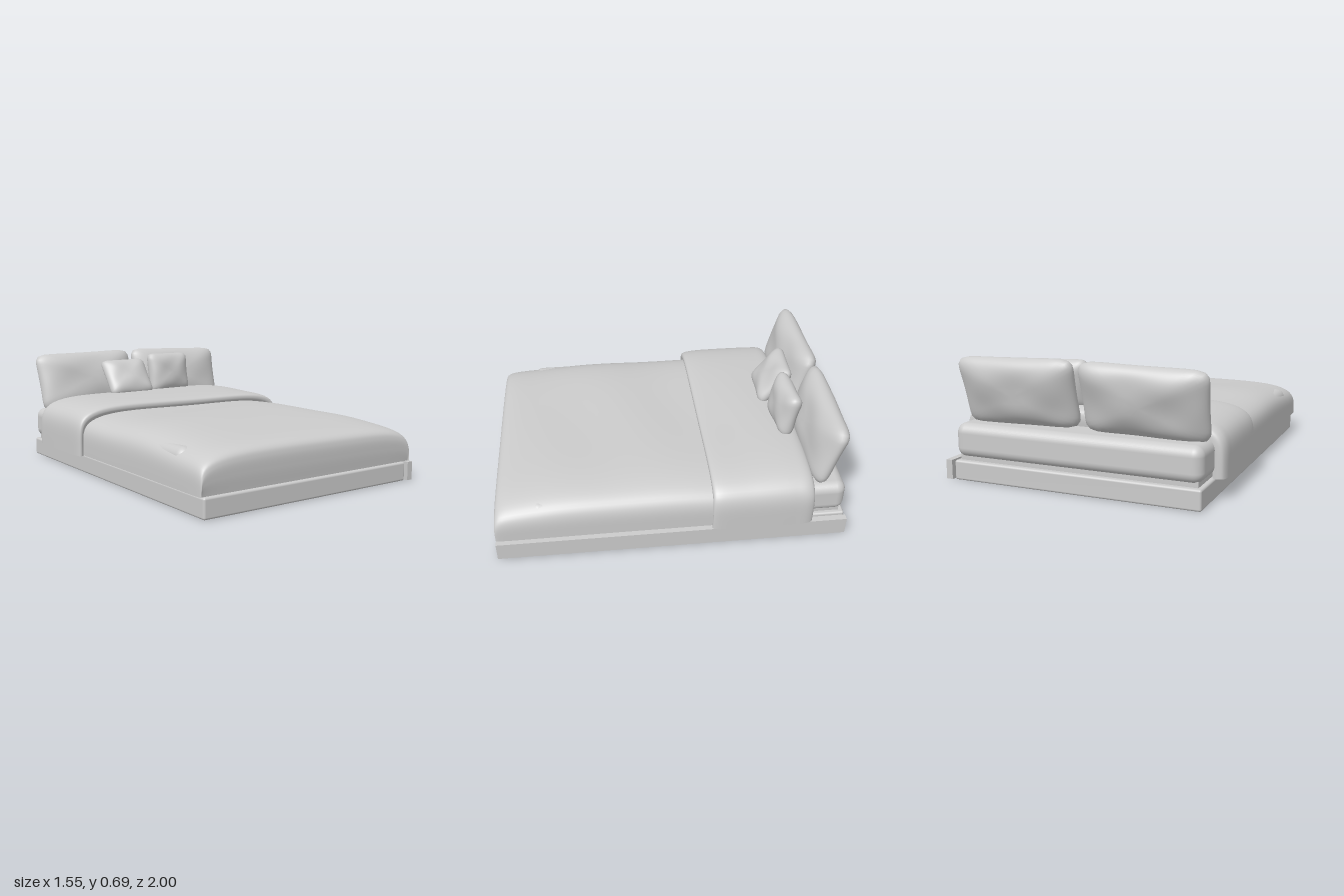
import * as THREE from 'three';
import { RoundedBoxGeometry } from 'three/addons/geometries/RoundedBoxGeometry.js';
import { mergeVertices } from 'three/addons/utils/BufferGeometryUtils.js';

const grey = new THREE.MeshStandardMaterial({ color: 0xcccccc });
const cloth = new THREE.MeshStandardMaterial({ color: 0xcccccc, side: THREE.DoubleSide });

// Rounded block given by its minimum and maximum corners
function block(name, min, max, radius) {
  const [w, h, d] = max.map((v, i) => v - min[i]);
  const geo = radius ? new RoundedBoxGeometry(w, h, d, 5, radius) : new THREE.BoxGeometry(w, h, d);
  const mesh = new THREE.Mesh(geo, grey);
  mesh.name = name;
  mesh.position.set(...max.map((v, i) => (v + min[i]) / 2));
  return mesh;
}

// Cloth draped over the bed: arched cross-sections lofted through stations [z, top, halfWidth]
function drape(name, stations, bottom, power) {
  const curve = new THREE.CatmullRomCurve3(stations.map(s => new THREE.Vector3(...s)));
  const across = 72, along = 90, pos = [], index = [];
  for (let j = 0; j <= along; j++) {
    const { x: z, y: top, z: halfWidth } = curve.getPoint(j / along);
    for (let i = 0; i <= across; i++) {
      const a = Math.PI * (1 - i / across);
      const c = Math.cos(a), s = Math.max(0, Math.sin(a));
      const k = (Math.abs(c) ** power + s ** power) ** (-1 / power);
      const ripple = 0.004 * s * Math.sin(9 * z + 3 * c) * Math.min(1, (top - bottom) * 4);
      pos.push(halfWidth * c * k, bottom + (top - bottom) * s * k + ripple, z);
      if (i < across && j < along) {
        const p = j * (across + 1) + i, q = p + across + 1;
        index.push(p, p + 1, q, p + 1, q + 1, q);
      }
    }
  }
  const geo = new THREE.BufferGeometry();
  geo.setAttribute('position', new THREE.Float32BufferAttribute(pos, 3));
  geo.setIndex(index);
  geo.computeVertexNormals();
  const mesh = new THREE.Mesh(geo, cloth);
  mesh.name = name;
  return mesh;
}

// Stuffed pillow: a sphere reshaped to a rounded-square outline with a lens profile
function pillow(name, [w, h, t], position, [rx, ry, rz], phase = 0) {
  let geo = new THREE.SphereGeometry(1, 64, 32);
  geo.rotateX(Math.PI / 2);
  geo.deleteAttribute('normal');
  geo.deleteAttribute('uv');
  geo = mergeVertices(geo, 1e-4);
  const p = geo.attributes.position, n = 9;
  for (let i = 0; i < p.count; i++) {
    const x = p.getX(i), y = p.getY(i), z = p.getZ(i);
    const r = Math.hypot(x, y) || 1e-6;
    const c = x / r, s = y / r;
    const k = (Math.abs(c) ** n + Math.abs(s) ** n) ** (-1 / n) * r ** 0.7;
    const u = c * k, v = s * k;
    // edges draw in slightly between the corners, and the faces dimple
    const dimple = 1 + 0.07 * Math.sin(5 * u + phase) * Math.cos(4 * v + phase);
    p.setXYZ(i,
      u * (w / 2) * (0.975 + 0.025 * v * v + 0.015 * v),
      v * (h / 2) * (0.975 + 0.025 * u * u),
      z * (t / 2) * dimple);
  }
  geo.computeVertexNormals();
  const mesh = new THREE.Mesh(geo, grey);
  mesh.name = name;
  mesh.position.set(...position);
  mesh.rotation.set(rx, ry, rz, 'YXZ');
  return mesh;
}

export function createModel() {
  const bed = new THREE.Group();
  bed.name = 'bed';

  // Frame and mattress
  bed.add(block('base', [-0.715, 0, -1], [0.705, 0.11, 0.995], 0.012));
  bed.add(block('sideRail', [0.722, 0, -1], [0.76, 0.108, 1], 0));
  bed.add(block('mattress', [-0.715, 0.125, -0.995], [0.705, 0.315, 0.8], 0.055));
  bed.add(block('mattressSupport', [-0.69, 0.1, -0.97], [0.68, 0.14, 0.9], 0));

  // Duvet, closed at the foot
  bed.add(drape('duvet', [
    [0.99, 0.115, 0.728], [0.998, 0.2, 0.73], [0.997, 0.27, 0.732], [0.985, 0.302, 0.735],
    [0.95, 0.324, 0.737], [0.75, 0.35, 0.737], [0.3, 0.37, 0.735], [-0.1, 0.364, 0.735], [-0.3, 0.36, 0.735],
  ], 0.115, 5));

  // Thicker folded-back part of the bedding
  bed.add(drape('foldedBlanket', [
    [-0.228, 0.355, 0.735], [-0.219, 0.378, 0.748], [-0.224, 0.397, 0.76], [-0.25, 0.408, 0.768],
    [-0.45, 0.42, 0.773], [-0.68, 0.42, 0.773], [-0.76, 0.412, 0.77],
    [-0.79, 0.395, 0.758], [-0.8, 0.36, 0.735], [-0.795, 0.3, 0.705],
  ], 0.112, 5.5));

  // Large pillows leaning back at the head
  bed.add(pillow('rightPillow', [0.7, 0.39, 0.17], [-0.375, 0.495, -0.89], [-0.27, 0, 0.02], 0.5));
  bed.add(pillow('leftPillow', [0.7, 0.39, 0.17], [0.347, 0.498, -0.89], [-0.27, 0, -0.025], 2));

  // Small cushions in front of them
  bed.add(pillow('rightCushion', [0.32, 0.28, 0.12], [-0.15, 0.512, -0.72], [-0.66, -0.05, 0.02], 1));
  bed.add(pillow('leftCushion', [0.325, 0.275, 0.13], [0.183, 0.53, -0.725], [-0.18, 0.07, -0.01], 3));

  return bed;
}
